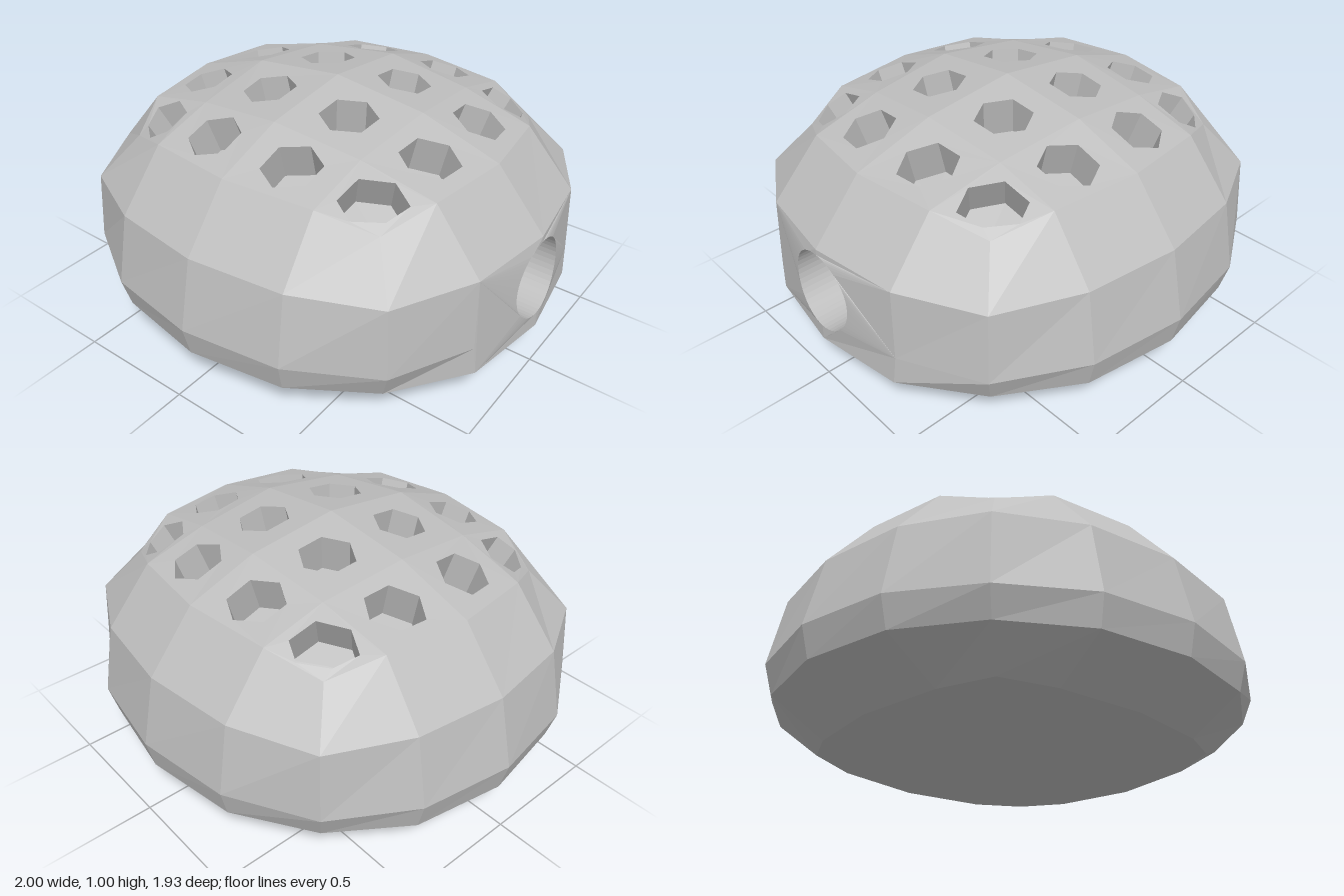
import * as THREE from 'three';

const CX = 0.02; // body axis is slightly off centre because of the flat port side
const V = (x, y, z) => new THREE.Vector3(x, y, z);

// Side rings, top to bottom: half sizes, corner / quarter / tangent ratios, heights at mid, quarter, corner
const RINGS = [
  { X: 0.75, Z: 0.70, c: 0.80, q: 0.93, t: 0.51, y: [0.845, 0.835, 0.765] },
  { X: 0.95, Z: 0.90, c: 0.765, q: 0.94, t: 0.42, y: [0.605, 0.6, 0.585] },
  { X: 1.02, Z: 0.965, c: 0.73, q: 0.933, t: 0.403, y: [0.31, 0.305, 0.293] },
  { X: 0.985, Z: 0.935, c: 0.72, q: 0.93, t: 0.405, y: [0.183, 0.183, 0.183] },
  { X: 0.735, Z: 0.70, c: 0.80, q: 0.93, t: 0.51, y: [0.04, 0.045, 0.055] },
];

// Nearly flat surface on the left side that carries the round port
const portX = (y, z) => 0.98 + 0.048 * (0.605 - y) - 0.06 * (z / 0.385) ** 2;

function ringPoint(level, i, j) {
  const r = RINGS[level];
  const ratio = (a, b) => Math.sign(a) *
    (Math.abs(a) === 2 ? [1, r.q, r.c][Math.abs(b)] : Math.abs(a) === 1 ? r.t : 0);
  const y = r.y[Math.min(Math.abs(i), Math.abs(j))];
  const z = r.Z * ratio(j, i);
  const onPort = i === 2 && Math.abs(j) < 2 && level > 0 && level < 4;
  return V(onPort ? portX(y, z) : CX + r.X * ratio(i, j), y, z);
}

// 5 x 5 grid of points on the top or bottom cap
function capPoint(top, i, j) {
  const a = Math.abs(i), b = Math.abs(j);
  if (Math.max(a, b) === 2) return ringPoint(top ? 0 : 4, i, j);
  const s = a + b === 2 ? 0.385 : 0.41;
  const y = (top ? [1, 0.952, 0.908] : [0, 0.01, 0.02])[a + b];
  return V(CX + i * s, y, j * s * 0.98);
}

// Collects triangles and turns them into a mesh
class Surface {
  constructor() { this.data = []; }
  tri(...pts) { pts.forEach((p) => this.data.push(p.x, p.y, p.z)); }
  quad(a, b, c, d) { this.tri(a, b, c); this.tri(a, c, d); }
  // Flat outline with holes, triangulated in 2D and mapped to space
  fill(outline, holes, map) {
    const pts = [outline, ...holes].flat();
    for (const [a, b, c] of THREE.ShapeUtils.triangulateShape(outline, holes)) {
      const [p, q, r] = [pts[a], pts[b], pts[c]];
      const area = (q.x - p.x) * (r.y - p.y) - (q.y - p.y) * (r.x - p.x);
      if (area > 0) this.tri(map(p), map(q), map(r));
      else this.tri(map(p), map(r), map(q));
    }
  }
  // Blind hole: walls and floor below a counter-clockwise rim
  well(rim, floor) {
    const n = rim.length;
    const mid = floor.reduce((s, p) => s.add(p), V(0, 0, 0)).divideScalar(n);
    rim.forEach((p, k) => {
      const m = (k + 1) % n;
      this.quad(p, rim[m], floor[m], floor[k]);
      this.tri(mid, floor[k], floor[m]);
    });
  }
  mesh(name, material) {
    const g = new THREE.BufferGeometry();
    g.setAttribute('position', new THREE.Float32BufferAttribute(this.data, 3));
    g.computeVertexNormals();
    const m = new THREE.Mesh(g, material);
    m.name = name;
    return m;
  }
}

export function createModel() {
  const group = new THREE.Group();
  group.name = 'facetedHolder';
  const grey = new THREE.MeshStandardMaterial({ color: 0xbfbfbf, flatShading: true });
  grey.name = 'plain grey';

  const sides = new Surface(), top = new Surface(), bottom = new Surface();
  const sockets = new Surface(), portFace = new Surface(), portBore = new Surface();

  // Walk around the 16 columns of the side wall
  const walk = [];
  for (let k = 0; k < 4; k++) {
    for (let s = -2; s < 2; s++) {
      let p = [s, 2];
      for (let n = 0; n < k; n++) p = [p[1], -p[0]];
      walk.push(p);
    }
  }
  walk.forEach((a, n) => {
    const b = walk[(n + 1) % 16];
    const besidePort = a[0] === 2 && b[0] === 2 && Math.abs(a[1] + b[1]) === 1;
    for (let l = 0; l < 4; l++) {
      if (besidePort && (l === 1 || l === 2)) continue;
      sides.quad(ringPoint(l + 1, ...a), ringPoint(l + 1, ...b), ringPoint(l, ...b), ringPoint(l, ...a));
    }
  });

  // Caps: plain bottom, top with one hexagonal socket in each panel
  const square = [[0, 0], [1, 0], [1, 1], [0, 1]].map((p) => new THREE.Vector2(...p));
  for (let i = -2; i < 2; i++) {
    for (let j = -2; j < 2; j++) {
      const corners = (t) => [capPoint(t, i, j), capPoint(t, i, j + 1),
        capPoint(t, i + 1, j + 1), capPoint(t, i + 1, j)];
      bottom.quad(...corners(false).reverse());

      const [a, b, c, d] = corners(true);
      const map = (p) => a.clone().lerp(b, p.x).lerp(d.clone().lerp(c, p.x), p.y);
      const along = b.clone().add(c).sub(a).sub(d).divideScalar(2);
      const across = c.clone().add(d).sub(a).sub(b).divideScalar(2);
      const inward = across.clone().cross(along).normalize().multiplyScalar(0.16);
      const hex = [];
      for (let k = 0; k < 6; k++) {
        const w = k * Math.PI / 3;
        hex.push(new THREE.Vector2(0.5 + 0.115 * Math.cos(w) / along.length(),
          0.5 + 0.115 * Math.sin(w) / across.length()));
      }
      top.fill(square, [hex], map);
      const rim = hex.map(map);
      sockets.well(rim, rim.map((p) => p.clone().add(inward)));
    }
  }

  // Round port: two half faces around the hole, then the bore
  const R = 0.167, CY = 0.413, N = 48;
  const onPort = (p) => V(portX(p.y, p.x), p.y, -p.x);
  const arc = (w) => new THREE.Vector2(R * Math.cos(w), CY + R * Math.sin(w));
  for (const side of [1, -1]) {
    const outline = [[3, 0], [3, 1], [2, 1], [1, 1], [1, 0]].map(([l, j]) => {
      const p = ringPoint(l, 2, -j * side);
      return new THREE.Vector2(-p.z, p.y);
    });
    for (let k = 0; k <= N / 2; k++) {
      const p = arc(Math.PI / 2 - k * 2 * Math.PI / N);
      outline.push(new THREE.Vector2(p.x * side, p.y));
    }
    portFace.fill(outline, [], onPort);
  }
  const rim = Array.from({ length: N }, (_, k) => onPort(arc(k * 2 * Math.PI / N)));
  portBore.well(rim, rim.map((p) => V(0.5, p.y, p.z)));

  group.add(
    sides.mesh('sideWall', grey), top.mesh('topShell', grey), bottom.mesh('base', grey),
    sockets.mesh('hexSockets', grey), portFace.mesh('portFace', grey), portBore.mesh('portBore', grey),
  );
  return group;
}
